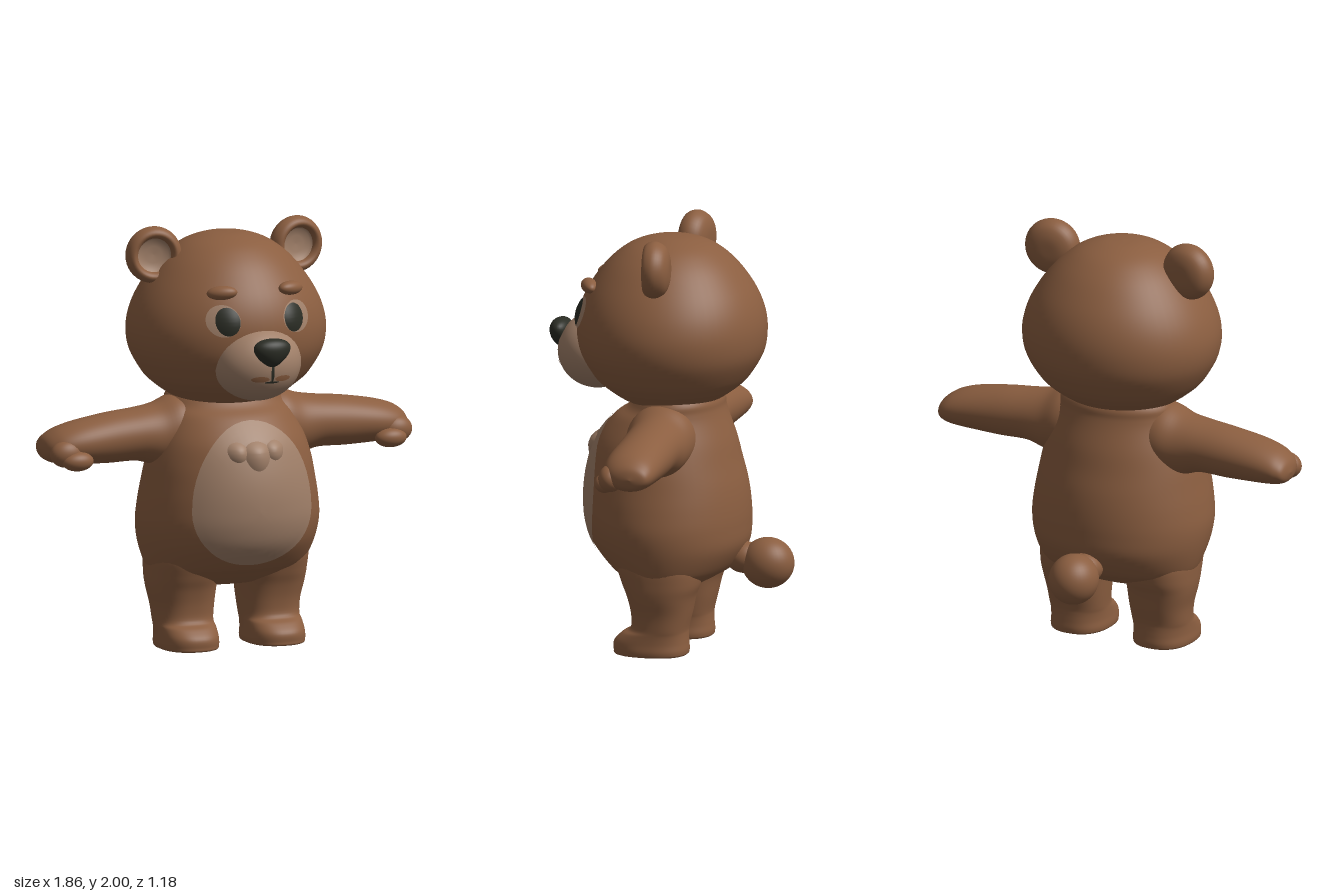
import * as THREE from 'three';

const SUB = 5, SEG = 56;

// Smoothly subdivide cross-sections [t, centreA, radiusA, centreB, radiusB]
function refine(rows) {
  const out = [];
  const at = i => rows[Math.min(rows.length - 1, Math.max(0, i))];
  for (let i = 0; i < rows.length - 1; i++) {
    for (let s = 0; s < SUB; s++) {
      const u = s / SUB, p0 = at(i - 1), p1 = at(i), p2 = at(i + 1), p3 = at(i + 2);
      out.push(p1.map((v, k) => v + 0.5 * u * (p2[k] - p0[k] +
        u * (2 * p0[k] - 5 * v + 4 * p2[k] - p3[k] + u * (3 * (v - p2[k]) + p3[k] - p0[k])))));
    }
  }
  out.push(rows[rows.length - 1]);
  return out.map(r => [Math.max(0, r[0]), ...r.slice(1)]);
}

function flip(geo) {
  const ix = geo.index;
  for (let i = 0; i < ix.count; i += 3) {
    const b = ix.getX(i + 1);
    ix.setX(i + 1, ix.getX(i + 2));
    ix.setX(i + 2, b);
  }
  return geo;
}

function mirror(geo) {
  return flip(geo.clone().scale(-1, 1, 1));
}

function buildGeometry(pos, idx) {
  const g = new THREE.BufferGeometry();
  g.setAttribute('position', new THREE.Float32BufferAttribute(pos, 3));
  g.setIndex(idx);
  g.computeVertexNormals();
  return g;
}

// Closed skin over elliptical rings, along y, or along x when sideways
function loft(rings, power = 2, sideways = false) {
  const pos = [], idx = [];
  const bend = v => Math.sign(v) * Math.abs(v) ** (2 / power);
  rings.forEach(([t, ca, ra, cb, rb], i) => {
    for (let j = 0; j < SEG; j++) {
      const th = j / SEG * Math.PI * 2;
      const a = ca + ra * bend(Math.cos(th)), b = cb + rb * bend(Math.sin(th));
      pos.push(...(sideways ? [t, a, b] : [a, t, b]));
      if (i === rings.length - 1) continue;
      const p = i * SEG + j, q = i * SEG + (j + 1) % SEG;
      if (sideways) idx.push(p, q, p + SEG, q, q + SEG, p + SEG);
      else idx.push(p, p + SEG, q, q, p + SEG, q + SEG);
    }
  });
  return buildGeometry(pos, idx);
}

// Front z of an elliptical loft at (x, y)
function frontOf(rings) {
  return (x, y) => {
    let i = 0;
    while (i < rings.length - 2 && rings[i + 1][0] < y) i++;
    const r0 = rings[i], r1 = rings[i + 1];
    const u = (y - r0[0]) / (r1[0] - r0[0] || 1);
    const [, ca, ra, cb, rb] = r0.map((v, k) => v + (r1[k] - v) * u);
    return cb + rb * Math.sqrt(Math.max(0, 1 - ((x - ca) / ra) ** 2));
  };
}

// Egg-shaped patch that follows a front surface
function patch(front, cx, cy, rx, up, down, lift = 0.005, dome = 0) {
  const pos = [], idx = [], N = 48, M = 10;
  for (let i = 0; i <= M; i++) {
    for (let j = 0; j < N; j++) {
      const r = i / M, th = j / N * Math.PI * 2, s = Math.sin(th);
      const x = cx + r * rx * Math.cos(th), y = cy + r * s * (s > 0 ? up : down);
      pos.push(x, y, front(x, y) + lift + dome * (1 - r * r));
      if (i === M) continue;
      const p = i * N + j, q = i * N + (j + 1) % N;
      idx.push(p, p + N, q, q, p + N, q + N);
    }
  }
  return buildGeometry(pos, idx);
}

function ellipsoid(x, y, z, rx, ry, rz, turnY = 0, turnZ = 0) {
  return new THREE.SphereGeometry(1, 36, 24).scale(rx, ry, rz)
    .rotateZ(turnZ).rotateY(turnY).translate(x, y, z);
}

export function createModel() {
  const bear = new THREE.Group();
  bear.name = 'bear';
  const material = (name, color) => {
    const m = new THREE.MeshStandardMaterial({ color });
    m.name = name;
    return m;
  };
  const brown = material('brown fur', 0x8b5e40);
  const tan = material('light fur', 0xa18069);
  const dark = material('dark nose and eyes', 0x2b2d25);

  const add = (name, geo, mat) => {
    const mesh = new THREE.Mesh(geo, mat);
    mesh.name = name;
    bear.add(mesh);
  };
  const addPair = (name, geo, mat) => {
    add('left' + name, geo, mat);
    add('right' + name, mirror(geo), mat);
  };

  // Torso
  const torso = refine([
    [0.285, 0, 0, -0.01, 0], [0.293, 0, 0.2, -0.01, 0.1], [0.33, 0, 0.33, -0.01, 0.18],
    [0.36, 0, 0.37, -0.012, 0.232], [0.4, 0, 0.397, -0.01, 0.29], [0.5, 0, 0.427, 0.002, 0.362],
    [0.6, 0, 0.44, 0.015, 0.385], [0.7, 0, 0.43, 0.022, 0.388], [0.8, 0, 0.412, 0.027, 0.378],
    [0.9, 0, 0.392, 0.03, 0.355], [1.0, 0, 0.36, 0.025, 0.325], [1.1, 0, 0.315, 0.002, 0.267],
    [1.15, 0, 0.292, -0.025, 0.225], [1.2, 0, 0.275, -0.04, 0.2], [1.28, 0, 0.2, -0.03, 0.15]]);
  add('torso', loft(torso), brown);

  // Belly patch and chest tufts
  const chest = frontOf(torso);
  add('bellyPatch', patch(chest, 0, 0.68, 0.305, 0.42, 0.265, 0.006), tan);
  add('middleChestTuft', patch(chest, 0, 0.96, 0.065, 0.05, 0.085, 0.005, 0.026), tan);
  addPair('ChestTuft', patch(chest, 0.095, 0.97, 0.047, 0.04, 0.052, 0.005, 0.02), tan);

  // Head
  const head = refine([
    [1.14, 0, 0, 0, 0], [1.155, 0, 0.14, 0, 0.12], [1.175, 0, 0.225, 0, 0.2],
    [1.2, 0, 0.28, 0, 0.25], [1.25, 0, 0.35, 0, 0.32], [1.3, 0, 0.4, 0, 0.368],
    [1.4, 0, 0.457, 0, 0.427], [1.5, 0, 0.475, 0, 0.445], [1.6, 0, 0.457, 0, 0.435],
    [1.7, 0, 0.41, 0, 0.397], [1.8, 0, 0.338, 0, 0.33], [1.87, 0, 0.268, 0, 0.262],
    [1.92, 0, 0.19, 0, 0.187], [1.95, 0, 0.095, 0, 0.094], [1.957, 0, 0, 0, 0]]);
  add('head', loft(head), brown);

  // Eyes and brows
  const face = frontOf(head);
  addPair('EyePatch', patch(face, 0.185, 1.6, 0.076, 0.076, 0.072, 0.004), tan);
  addPair('Eye', patch(face, 0.168, 1.6, 0.055, 0.065, 0.066, 0.008, 0.01), dark);
  addPair('Brow', ellipsoid(0.175, 1.73, 0.355, 0.072, 0.033, 0.038, 0.42, -0.06), brown);

  // Muzzle, nose and mouth
  add('muzzle', ellipsoid(0, 1.39, 0.36, 0.212, 0.18, 0.188), tan);
  const snout = (x, y) => 0.36 + 0.188 *
    Math.sqrt(Math.max(0, 1 - (x / 0.212) ** 2 - ((y - 1.39) / 0.18) ** 2));
  const nose = new THREE.SphereGeometry(1, 36, 24);
  const p = nose.attributes.position;
  for (let i = 0; i < p.count; i++) {
    const y = p.getY(i);
    p.setXYZ(i, p.getX(i) * (0.086 + 0.034 * y), 1.463 + 0.068 * y, 0.54 + p.getZ(i) * (0.05 + 0.01 * y));
  }
  nose.computeVertexNormals();
  add('nose', nose, dark);
  addPair('MouthCorner', patch(snout, 0.057, 1.338, 0.042, 0.014, 0.014, 0.003), brown);
  add('mouthLine', patch(snout, 0, 1.365, 0.008, 0.045, 0.045, 0.005), dark);
  add('mouthBar', patch(snout, 0, 1.322, 0.036, 0.005, 0.005, 0.005), dark);

  // Ears: a rounded cup with a light hollow
  const placeEar = g => g.rotateX(Math.PI / 2).rotateY(0.15).translate(0.362, 1.866, -0.025);
  const cup = new THREE.SplineCurve([
    [0, -0.065], [0.06, -0.062], [0.11, -0.04], [0.134, 0.005], [0.125, 0.045],
    [0.103, 0.06], [0.084, 0.045], [0.077, 0.015], [0.07, 0]
  ].map(q => new THREE.Vector2(...q))).getPoints(32).map(q => new THREE.Vector2(Math.max(0, q.x), q.y));
  addPair('Ear', placeEar(new THREE.LatheGeometry(cup, 40)), brown);
  const hollow = [[0.081, 0.033], [0.07, 0.022], [0.04, 0.014], [0, 0.012]].map(q => new THREE.Vector2(...q));
  addPair('InnerEar', placeEar(new THREE.LatheGeometry(hollow, 40)), tan);

  // Arms with a finger and thumb bulge
  addPair('Arm', loft(refine([
    [0.18, 1.02, 0.17, -0.02, 0.16], [0.27, 1.03, 0.165, -0.02, 0.165], [0.36, 1.015, 0.147, -0.02, 0.15],
    [0.46, 1.02, 0.125, -0.02, 0.14], [0.6, 1.012, 0.118, -0.022, 0.137], [0.75, 1.002, 0.103, -0.022, 0.135],
    [0.84, 0.993, 0.087, -0.027, 0.125], [0.89, 0.985, 0.068, -0.035, 0.105],
    [0.92, 0.98, 0.042, -0.045, 0.07], [0.932, 0.978, 0, -0.05, 0]]), 2, true), brown);
  addPair('Finger', ellipsoid(0.84, 0.965, 0.062, 0.082, 0.065, 0.058), brown);
  addPair('Thumb', ellipsoid(0.8, 0.932, 0.1, 0.078, 0.046, 0.05), brown);

  // Legs and feet
  addPair('Leg', loft(refine([
    [0, 0.22, 0, 0.035, 0], [0, 0.22, 0.07, 0.038, 0.085], [0, 0.22, 0.13, 0.04, 0.165],
    [0.02, 0.22, 0.142, 0.038, 0.177], [0.06, 0.22, 0.14, 0.038, 0.175], [0.1, 0.22, 0.139, 0.02, 0.155],
    [0.13, 0.22, 0.14, -0.003, 0.134], [0.2, 0.22, 0.147, -0.012, 0.142], [0.28, 0.225, 0.16, -0.012, 0.16],
    [0.35, 0.225, 0.167, -0.01, 0.185], [0.45, 0.22, 0.17, 0, 0.2], [0.55, 0.2, 0.15, 0, 0.15]]), 2.4), brown);

  // Tail
  add('tail', ellipsoid(0, 0.415, -0.465, 0.116, 0.12, 0.125), brown);
  add('tailBase', ellipsoid(0, 0.435, -0.35, 0.08, 0.075, 0.09), brown);

  return bear;
}
